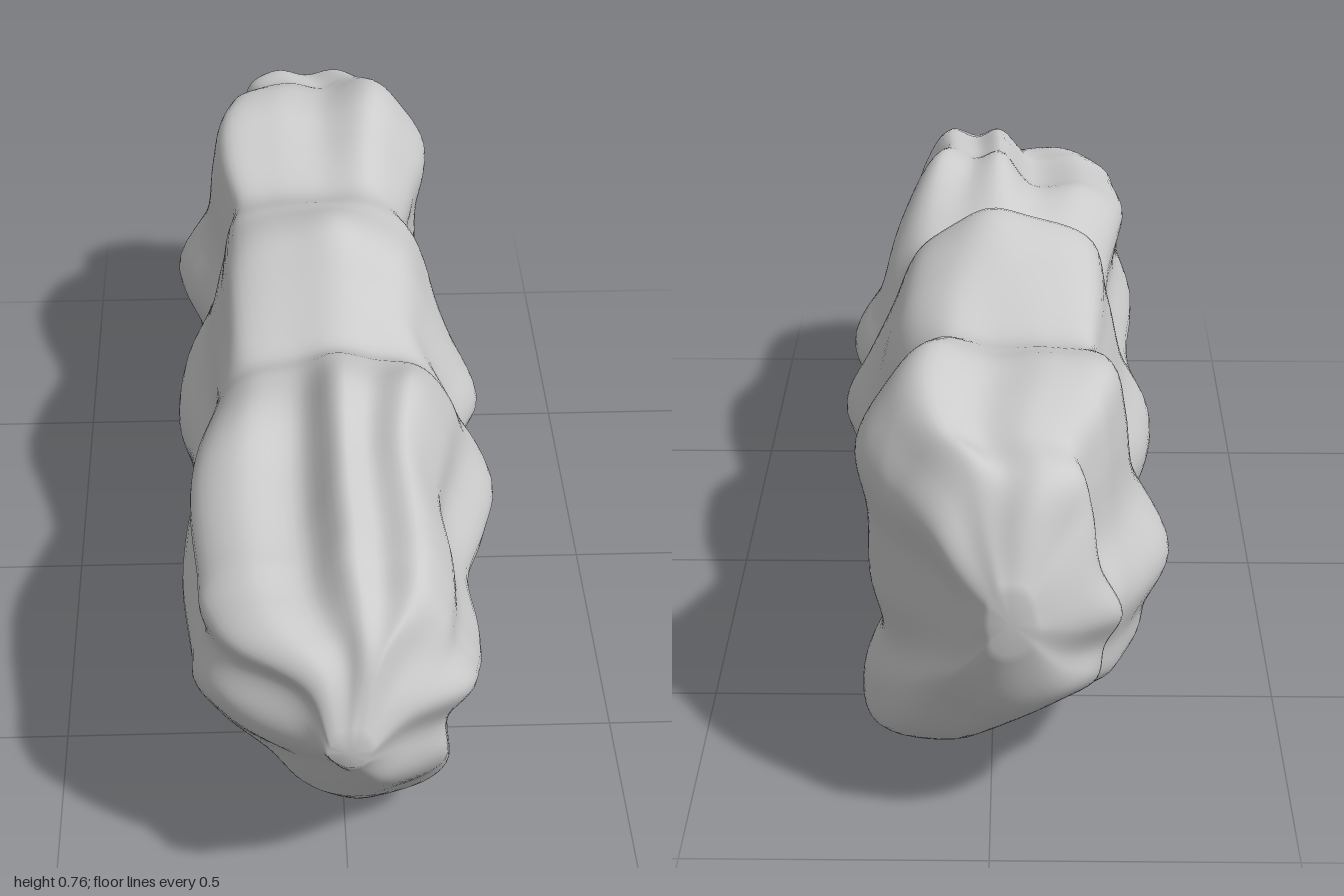
import * as THREE from 'three';

// Stations along the length: z, right edge, left edge, bottom, top
const STATIONS = [
  [-1, -0.07, 0, 0.38, 0.49], [-0.96, -0.13, 0.05, 0.27, 0.57],
  [-0.9, -0.2, 0.1, 0.19, 0.65], [-0.8, -0.21, 0.17, 0.1, 0.68],
  [-0.7, -0.26, 0.22, 0.05, 0.72], [-0.6, -0.3, 0.22, 0.035, 0.73],
  [-0.5, -0.29, 0.19, 0.06, 0.7], [-0.37, -0.24, 0.17, 0.09, 0.66],
  [-0.2, -0.28, 0.25, 0.045, 0.72], [-0.03, -0.29, 0.285, 0.04, 0.76],
  [0.08, -0.27, 0.25, 0.09, 0.69], [0.18, -0.26, 0.28, 0.11, 0.64],
  [0.27, -0.26, 0.29, 0.1, 0.68], [0.4, -0.27, 0.26, 0.02, 0.72],
  [0.53, -0.275, 0.22, 0.003, 0.69], [0.7, -0.26, 0.23, 0.025, 0.66],
  [0.8, -0.25, 0.22, 0.12, 0.64], [0.88, -0.2, 0.19, 0.22, 0.61],
  [0.95, -0.08, 0.09, 0.31, 0.55], [1, -0.04, 0.03, 0.38, 0.44],
];

// Outlines of the rear, middle and front lumps, counter-clockwise from the left side
const OUTLINES = [
  [[0.2, 0.36], [0.205, 0.48], [0.22, 0.59], [0.17, 0.67], [0.1, 0.73], [0, 0.7],
    [-0.1, 0.71], [-0.19, 0.69], [-0.22, 0.6], [-0.24, 0.47], [-0.3, 0.35], [-0.26, 0.26],
    [-0.24, 0.19], [-0.14, 0.14], [0.07, 0.05], [0.2, 0.07], [0.215, 0.17], [0.18, 0.26]],
  [[0.285, 0.36], [0.245, 0.46], [0.19, 0.58], [0.14, 0.68], [0.07, 0.73], [0, 0.76],
    [-0.08, 0.74], [-0.18, 0.69], [-0.21, 0.58], [-0.24, 0.46], [-0.29, 0.36], [-0.28, 0.28],
    [-0.22, 0.2], [-0.1, 0.1], [0.08, 0.04], [0.23, 0.08], [0.25, 0.18], [0.225, 0.26]],
  [[0.225, 0.38], [0.18, 0.49], [0.165, 0.59], [0.11, 0.69], [0.05, 0.67], [0, 0.69],
    [-0.07, 0.615], [-0.17, 0.62], [-0.25, 0.56], [-0.24, 0.47], [-0.27, 0.36], [-0.22, 0.26],
    [-0.14, 0.16], [-0.08, 0.07], [0.02, 0], [0.1, 0.04], [0.17, 0.11], [0.17, 0.25]],
];

const RING = 108, STEPS = 140;
const { lerp, smoothstep } = THREE.MathUtils;

// Smooth closed outline: each point as x, y and its place u, v in the bounding box (-0.5 to 0.5)
function smoothOutline(points) {
  const curve = new THREE.CatmullRomCurve3(points.map(([x, y]) => new THREE.Vector3(x, y, 0)), true);
  const ring = Array.from({ length: RING }, (_, j) => curve.getPoint(j / RING));
  const box = new THREE.Box3().setFromPoints(ring);
  const size = box.getSize(new THREE.Vector3());
  const center = box.getCenter(new THREE.Vector3());
  return ring.map((p) => [p.x, p.y, (p.x - center.x) / size.x, (p.y - center.y) / size.y]);
}

function rockGeometry() {
  const [rear, middle, front] = OUTLINES.map(smoothOutline);
  const edges = new THREE.CubicInterpolant(
    STATIONS.map((s) => s[0]), STATIONS.flatMap((s) => s.slice(1)), 4);
  const positions = [], indices = [];

  for (let i = 0; i <= STEPS; i++) {
    // Rings crowd towards both rounded ends
    const t = 1 - (2 * i) / STEPS;
    const z = 0.5 * t + 0.5 * Math.sin((t * Math.PI) / 2);
    const d = Math.abs(z);
    const [x0, x1, y0, y1] = edges.evaluate(z);
    const other = z > 0 ? front : rear;
    const blend = smoothstep(d, 0, 0.5);
    const taper = smoothstep(d, 0.58, 0.82);
    const rounding = 0.6 * smoothstep(d, 0.84, 1);
    for (let j = 0; j < RING; j++) {
      const a = (j / RING) * Math.PI * 2;
      let [x, y, u, v] = middle[j].map((m, k) => lerp(m, other[j][k], blend));
      // Ridges fade towards a round nub at the ends
      const round = lerp(1, 0.5 / Math.hypot(u, v), rounding);
      u *= round;
      v *= round;
      // Necks and swells act most on the outer ridges, the taper acts on everything
      x = lerp(x, (x0 + x1) / 2 + u * (x1 - x0), Math.max(taper, Math.min(1, 2 * Math.abs(u))));
      y = lerp(y, (y0 + y1) / 2 + v * (y1 - y0), Math.max(taper, Math.min(1, 2 * Math.abs(v))));
      // Uneven knobs on the end faces
      const knob = 0.012 * Math.sin(5 * a + 1) * smoothstep(d, 0.8, 0.92) * (1 - smoothstep(d, 0.92, 1));
      // Shallow weathered ripples that wander along the length
      const ripple = 0.006 * (Math.sin(9 * a + 5 * z) + Math.sin(5 * a - 11 * z + 1));
      positions.push(
        x + u * (x1 - x0) * ripple,
        Math.max(0, y + v * (y1 - y0) * ripple),
        z + knob);
    }
  }

  // Skin between rings
  for (let i = 0; i < STEPS; i++) {
    for (let j = 0; j < RING; j++) {
      const k = (j + 1) % RING;
      const a = i * RING + j, b = i * RING + k, c = a + RING, d = b + RING;
      indices.push(a, c, b, b, c, d);
    }
  }

  // Small caps at the two tips
  const frontTip = positions.length / 3, backTip = frontTip + 1, last = STEPS * RING;
  positions.push(-0.005, 0.41, 1, -0.035, 0.435, -1);
  for (let j = 0; j < RING; j++) {
    const k = (j + 1) % RING;
    indices.push(frontTip, j, k, backTip, last + k, last + j);
  }

  const geometry = new THREE.BufferGeometry();
  geometry.setAttribute('position', new THREE.Float32BufferAttribute(positions, 3));
  geometry.setIndex(indices);
  geometry.computeVertexNormals();
  return geometry;
}

export function createModel() {
  const model = new THREE.Group();
  model.name = 'rock';
  const boulder = new THREE.Mesh(rockGeometry(), new THREE.MeshStandardMaterial({ color: 0xcccccc }));
  boulder.name = 'boulder';
  model.add(boulder);
  return model;
}
